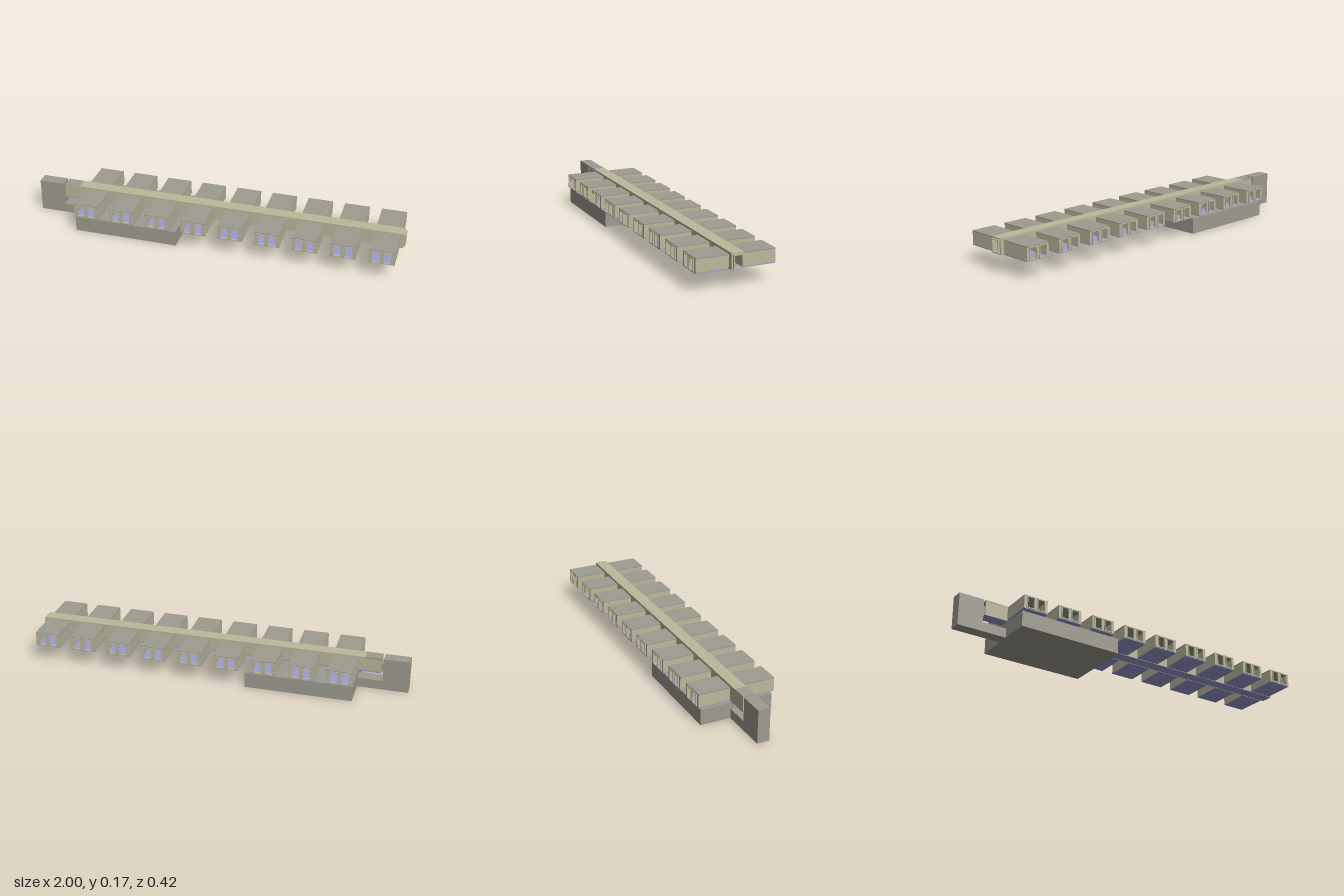
import * as THREE from 'three';

const material = (name, color) => {
  const m = new THREE.MeshStandardMaterial({ color });
  m.name = name;
  return m;
};

export function createModel() {
  const grey = material('grey concrete', 0x9e9b90);
  const beige = material('beige panel', 0xbcb99c);
  const blue = material('blue floor', 0x9c9cd0);
  const root = new THREE.Group();
  root.name = 'modularStation';

  // Box given by its minimum and maximum on each axis
  const box = (parent, name, mat, x0, x1, y0, y1, z0, z1) => {
    const mesh = new THREE.Mesh(new THREE.BoxGeometry(x1 - x0, y1 - y0, z1 - z0), mat);
    mesh.position.set((x0 + x1) / 2, (y0 + y1) / 2, (z0 + z1) / 2);
    mesh.name = name;
    parent.add(mesh);
    return mesh;
  };

  // Rectangular panel with rectangular openings, extruded along +z
  const panel = (name, mat, [x0, x1, y0, y1], openings, depth) => {
    const trace = (path, a, b, c, d) => {
      path.moveTo(a, c); path.lineTo(b, c); path.lineTo(b, d); path.lineTo(a, d);
      path.closePath();
      return path;
    };
    const shape = trace(new THREE.Shape(), x0, x1, y0, y1);
    openings.forEach(o => shape.holes.push(trace(new THREE.Path(), ...o)));
    const mesh = new THREE.Mesh(new THREE.ExtrudeGeometry(shape, { depth, bevelEnabled: false }), mat);
    mesh.name = name;
    return mesh;
  };

  // Ground buildings
  box(root, 'tower', grey, -1, -0.865, 0, 0.175, -0.032, 0.032);
  box(root, 'lowLink', grey, -0.865, -0.735, 0, 0.05, -0.032, 0.032);
  box(root, 'podium', grey, -0.735, -0.175, 0, 0.083, -0.193, 0.193);
  box(root, 'towerDoorLink', grey, -0.865, -0.85, 0.097, 0.143, -0.02, 0.02);

  // Hollow central corridor
  const corridor = new THREE.Group();
  corridor.name = 'corridor';
  root.add(corridor);
  box(corridor, 'corridorFloor', blue, -0.855, 0.985, 0.093, 0.1, -0.032, 0.032);
  box(corridor, 'corridorRoof', beige, -0.77, 0.985, 0.168, 0.175, -0.032, 0.032);
  box(corridor, 'entryRoof', grey, -0.855, -0.77, 0.168, 0.175, -0.032, 0.032);
  for (const s of [-1, 1]) {
    box(corridor, 'corridorWall', beige, -0.855, 0.985,
      0.0935, 0.1745, s > 0 ? 0.026 : -0.032, s > 0 ? 0.032 : -0.026);
  }
  const hole = [[-0.019, 0.019, 0.105, 0.163]];
  const endWall = panel('corridorEndWall', beige, [-0.032, 0.032, 0.093, 0.175], hole, 0.005);
  endWall.rotation.y = Math.PI / 2;
  endWall.position.x = 0.985;
  const endFrame = panel('corridorEndFrame', beige, [-0.024, 0.024, 0.098, 0.168], hole, 0.01);
  endFrame.rotation.y = Math.PI / 2;
  endFrame.position.x = 0.99;
  corridor.add(endWall, endFrame);

  // Hollow room with two open bay windows, facing +z
  const makeRoom = () => {
    const g = new THREE.Group();
    g.name = 'room';
    const w = 0.066, bays = [-0.029, 0.029];
    box(g, 'roomFloor', blue, -w, w, 0.093, 0.098, 0.037, 0.205);
    box(g, 'roomRoof', grey, -w, w, 0.162, 0.167, 0.037, 0.205);
    box(g, 'innerWall', beige, -w, w, 0.098, 0.162, 0.037, 0.042);
    for (const s of [-1, 1]) {
      box(g, 'sideWall', beige, s > 0 ? w - 0.005 : -w, s > 0 ? w : -w + 0.005,
        0.098, 0.162, 0.042, 0.205);
    }
    const openings = bays.map(x => [x - 0.018, x + 0.018, 0.102, 0.158]);
    const wall = panel('windowWall', beige, [-w + 0.005, w - 0.005, 0.098, 0.162], openings, 0.005);
    wall.position.z = 0.2;
    g.add(wall);
    bays.forEach((x, i) => {
      const frame = panel('windowFrame', beige, [x - 0.023, x + 0.023, 0.097, 0.163], [openings[i]], 0.005);
      frame.position.z = 0.205;
      g.add(frame);
    });
    // Passage to the corridor
    box(g, 'passage', beige, -0.05, 0.05, 0.095, 0.143, 0.03, 0.0375);
    return g;
  };

  // Nine rooms on each side
  for (let i = 0; i < 9; i++) {
    for (const turn of [0, Math.PI]) {
      const room = makeRoom();
      room.position.x = -0.668 + i * 0.197;
      room.rotation.y = turn;
      root.add(room);
    }
  }
  return root;
}
